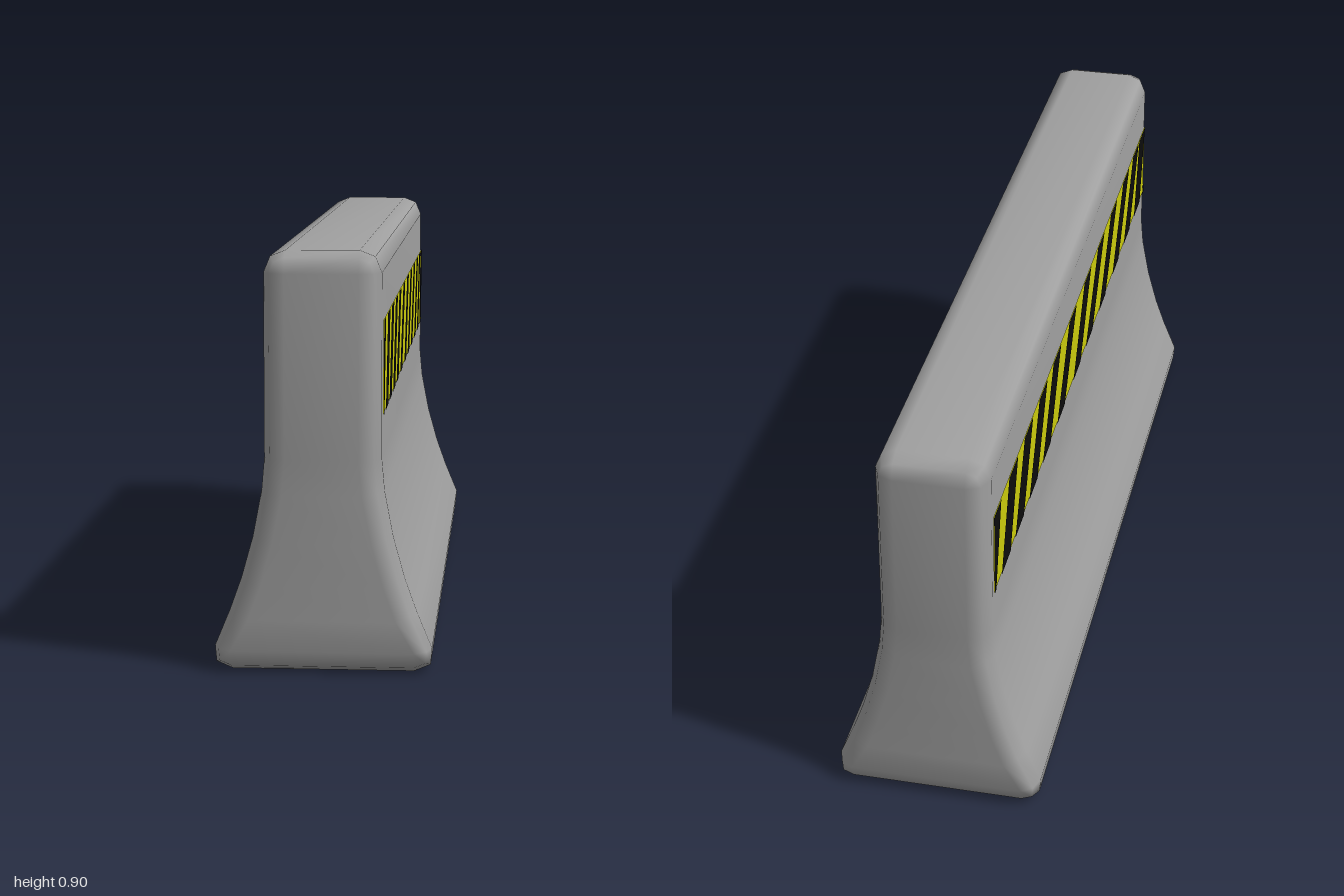
import * as THREE from 'three';
import { mergeVertices } from 'three/addons/utils/BufferGeometryUtils.js';

const concrete = new THREE.MeshStandardMaterial({ color: 0xa0a0a0 });
concrete.name = 'concreteGrey';
const yellow = new THREE.MeshStandardMaterial({ color: 0xcccc0c });
yellow.name = 'warningYellow';
const black = new THREE.MeshStandardMaterial({ color: 0x0c0c0c });
black.name = 'stripeBlack';

// Half profile, bottom to top: outer x, y, then the inset x, y used on the end faces
const HALF = [
  [0.195, 0, 0.195, 0.048], [0.23, 0.015, 0.195, 0.048], [0.233, 0.05, 0.195, 0.048],
  [0.2, 0.13, 0.157, 0.115], [0.175, 0.2, 0.131, 0.187], [0.15, 0.29, 0.105, 0.28],
  [0.131, 0.39, 0.085, 0.383], [0.125, 0.46, 0.078, 0.46],
  [0.125, 0.853, 0.078, 0.853], [0.111, 0.887, 0.078, 0.853], [0.078, 0.9, 0.078, 0.853],
];
// Sections along z: position and how far the outline has swollen from inset to outer
const SECTIONS = [[-1, 0], [-0.986, 0.7], [-0.953, 1], [0.953, 1], [0.986, 0.7], [1, 0]];

function barrierGeometry() {
  const ring = [...HALF, ...HALF.map(([x, y, cx, cy]) => [-x, y, -cx, cy]).reverse()];
  const n = ring.length, pos = [], index = [];
  for (const [z, k] of SECTIONS)
    for (const [x, y, cx, cy] of ring) pos.push(cx + (x - cx) * k, cy + (y - cy) * k, z);
  const quad = (a, b, c, d) => index.push(a, b, c, a, c, d);
  for (let j = 0; j < SECTIONS.length - 1; j++)
    for (let i = 0; i < n; i++) {
      const next = (i + 1) % n;
      quad(j * n + i, j * n + next, (j + 1) * n + next, (j + 1) * n + i);
    }
  // End faces, bridged from the right half to the left half
  const last = (SECTIONS.length - 1) * n;
  for (let i = 0; i < HALF.length - 1; i++) {
    const r = i, r2 = i + 1, l2 = n - 2 - i, l = n - 1 - i;
    quad(last + r, last + r2, last + l2, last + l);
    quad(l, l2, r2, r);
  }
  const g = new THREE.BufferGeometry();
  g.setAttribute('position', new THREE.Float32BufferAttribute(pos, 3));
  g.setIndex(index);
  const merged = mergeVertices(g, 1e-4);
  merged.computeVertexNormals();
  return merged;
}

// Flat panel outline on the +x side; u runs along the band, v up it
const LENGTH = 1.893, HEIGHT = 0.2, BASE = 0.552;
function panel(name, outlines, x, material) {
  const shapes = outlines.map(o => new THREE.Shape(o.map(([u, v]) =>
    new THREE.Vector2(u - LENGTH / 2, v + BASE))));
  const g = new THREE.ShapeGeometry(shapes);
  g.rotateY(Math.PI / 2);
  g.translate(x, 0, 0);
  const m = new THREE.Mesh(g, material);
  m.name = name;
  return m;
}

// Left edges of the slanted stripes at the foot and head of the band
const FOOT = [0.07, 0.21, 0.36, 0.51, 0.68, 0.88, 1.04, 1.22, 1.41, 1.58, 1.74];
const HEAD = [0.15, 0.31, 0.47, 0.63, 0.82, 1.01, 1.19, 1.37, 1.55, 1.7, 1.8];
const WIDTH = 0.09;

function warningBand(name) {
  const group = new THREE.Group();
  group.name = name;
  const stripes = FOOT.map((f, i) =>
    [[f, 0], [f + WIDTH, 0], [HEAD[i] + WIDTH, HEIGHT], [HEAD[i], HEIGHT]]);
  // Cut-off stripes at the two ends
  stripes.push([[0, 0], [0.015, 0], [0.07, HEIGHT], [0, HEIGHT]]);
  stripes.push([[1.87, 0], [LENGTH, 0], [LENGTH, 0.03]]);
  group.add(
    panel('bandBackground', [[[0, 0], [LENGTH, 0], [LENGTH, HEIGHT], [0, HEIGHT]]], 0.127, yellow),
    panel('bandStripes', stripes, 0.129, black));
  return group;
}

export function createModel() {
  const model = new THREE.Group();
  model.name = 'roadBarrier';
  const body = new THREE.Mesh(barrierGeometry(), concrete);
  body.name = 'barrierBody';
  const left = warningBand('leftWarningBand');
  const right = warningBand('rightWarningBand');
  right.rotation.y = Math.PI;
  model.add(body, left, right);
  return model;
}
